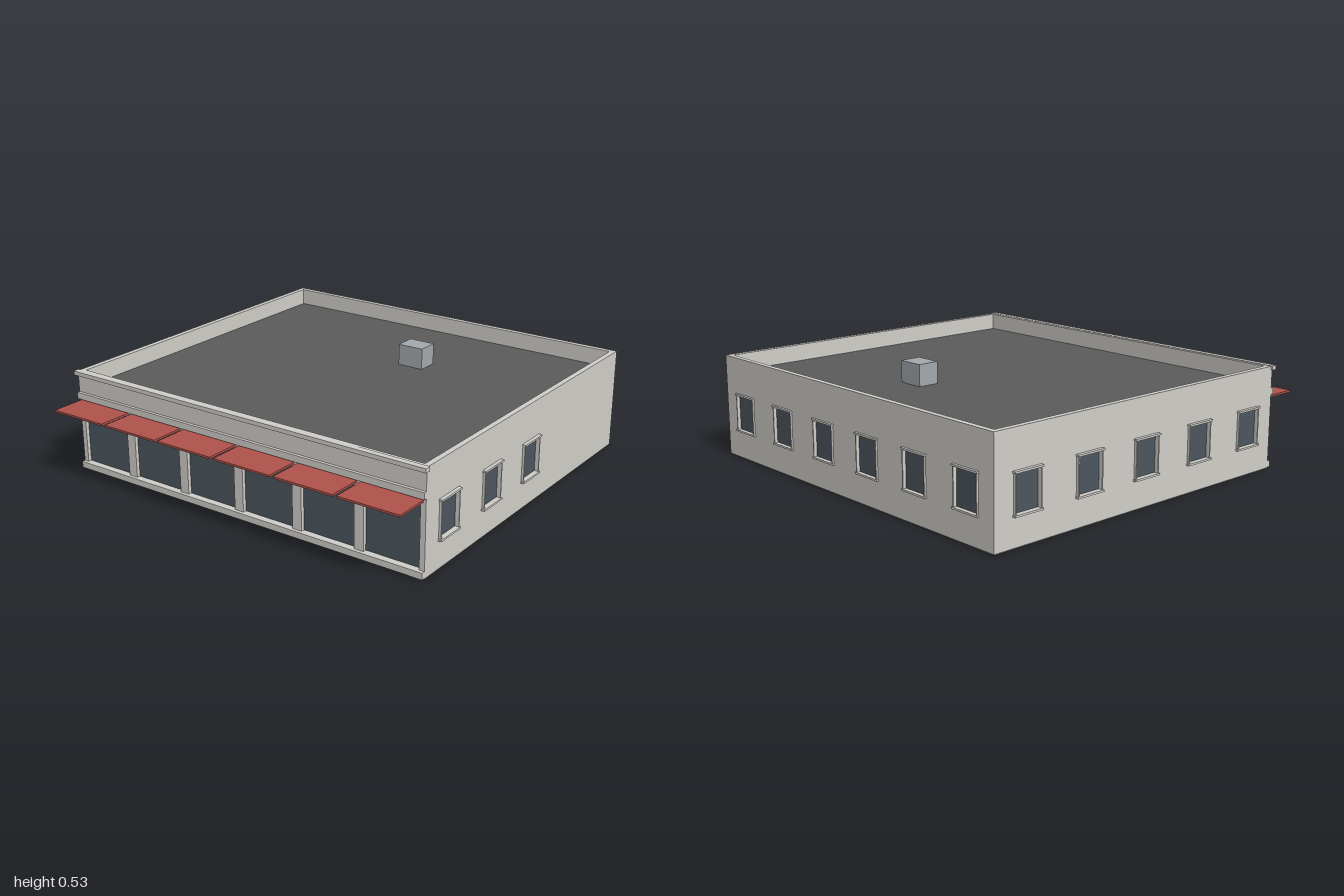
import * as THREE from 'three';

const mat = (color) => new THREE.MeshStandardMaterial({ color });
const MAT = {
  wall: mat(0xd0cec9), glass: mat(0x4c565e), roof: mat(0x5b5b5b),
  awning: mat(0xb0524c), unit: mat(0xa3a8ad),
};

// Main dimensions
const HALF_W = 0.983, FRONT = 0.803, BACK = -0.963, T = 0.027;
const FLOOR = 0.006, TOP = 0.503, ROOF = 0.42;
const MID_Z = (FRONT + BACK) / 2, DEPTH = FRONT - BACK;
const BAY = 0.327, SIDE_BAY = 0.353;

function box(parent, name, material, [w, h, d], [x, y, z]) {
  const mesh = new THREE.Mesh(new THREE.BoxGeometry(w, h, d), material);
  mesh.name = name;
  mesh.position.set(x, y, z);
  parent.add(mesh);
  return mesh;
}

// Wall with its outer face at local z = 0 and glazed rectangular openings
function wall(name, length, centres, w, y0, y1, recess) {
  const group = new THREE.Group();
  group.name = name;
  const L = length / 2;
  const rect = (P, a, b, c, d) => {
    const p = new P();
    p.moveTo(a, b).lineTo(c, b).lineTo(c, d).lineTo(a, d).closePath();
    return p;
  };
  const shape = rect(THREE.Shape, -L, FLOOR, L, TOP);
  for (const u of centres) shape.holes.push(rect(THREE.Path, u - w / 2, y0, u + w / 2, y1));
  const geo = new THREE.ExtrudeGeometry(shape, { depth: T, bevelEnabled: false });
  geo.translate(0, 0, -T);
  const mesh = new THREE.Mesh(geo, MAT.wall);
  mesh.name = name + 'Panel';
  group.add(mesh);
  for (const u of centres) {
    box(group, 'glass', MAT.glass, [w, y1 - y0, 0.004], [u, (y0 + y1) / 2, -recess - 0.002]);
  }
  return group;
}

// Wall with small windows, each with lintel, sill and narrow jambs
function windowWall(name, length, centres, reach) {
  const w = 0.136, y0 = 0.145, y1 = 0.317;
  const group = wall(name, length, centres, w, y0, y1, 0.008);
  for (const u of centres) {
    box(group, 'lintel', MAT.wall, [0.157, 0.009, reach], [u, y1 + 0.0045, reach / 2]);
    box(group, 'sill', MAT.wall, [0.157, 0.009, reach], [u, y0 - 0.0045, reach / 2]);
    for (const s of [-1, 1]) {
      box(group, 'jamb', MAT.wall, [0.006, y1 - y0, reach * 0.7],
        [u + s * (w / 2 + 0.003), (y0 + y1) / 2, reach * 0.35]);
    }
  }
  return group;
}

export function createModel() {
  const model = new THREE.Group();
  model.name = 'shopBuilding';
  const bays = [-2.5, -1.5, -0.5, 0.5, 1.5, 2.5].map((i) => i * BAY);

  // Shop front with six large panes
  const front = wall('frontWall', HALF_W * 2, bays, 0.278, 0.037, 0.362, 0.018);
  front.position.z = FRONT;
  model.add(front);

  // Back wall, six windows
  const back = windowWall('backWall', HALF_W * 2, bays, 0.012);
  back.rotation.y = Math.PI;
  back.position.z = BACK;
  model.add(back);

  // Side walls: three windows on the left, five on the right
  const sideLength = DEPTH - 2 * T;
  const sides = [['leftWall', 1, [-2, -1, 0]], ['rightWall', -1, [-2, -1, 0, 1, 2]]];
  for (const [name, s, slots] of sides) {
    const side = windowWall(name, sideLength, slots.map((i) => i * SIDE_BAY), 0.017);
    side.rotation.y = s * Math.PI / 2;
    side.position.set(s * HALF_W, 0, MID_Z);
    model.add(side);
  }

  // Floor, sunken roof and rooftop unit
  box(model, 'floorSlab', MAT.roof, [HALF_W * 2, FLOOR, DEPTH], [0, FLOOR / 2, MID_Z]);
  box(model, 'roofDeck', MAT.roof, [(HALF_W - T) * 2, 0.02, sideLength], [0, ROOF - 0.01, MID_Z]);
  box(model, 'rooftopUnit', MAT.unit, [0.136, 0.107, 0.108], [0.148, ROOF + 0.0525, -0.418]);

  // Front bands: plinth, ledge above the panes and cornice
  box(model, 'plinth', MAT.wall, [HALF_W * 2, 0.031, 0.017], [0, 0.0215, FRONT + 0.0085]);
  box(model, 'ledge', MAT.wall, [HALF_W * 2, 0.032, 0.015], [0, 0.381, FRONT + 0.0075]);
  box(model, 'cornice', MAT.wall, [0.991 * 2, 0.02, 0.03], [0, 0.495, FRONT + 0.005]);

  // One flat awning over each pane
  for (const x of bays) {
    box(model, 'awning', MAT.awning, [0.307, 0.01, 0.172], [x, 0.352, FRONT + 0.086]);
  }
  return model;
}
